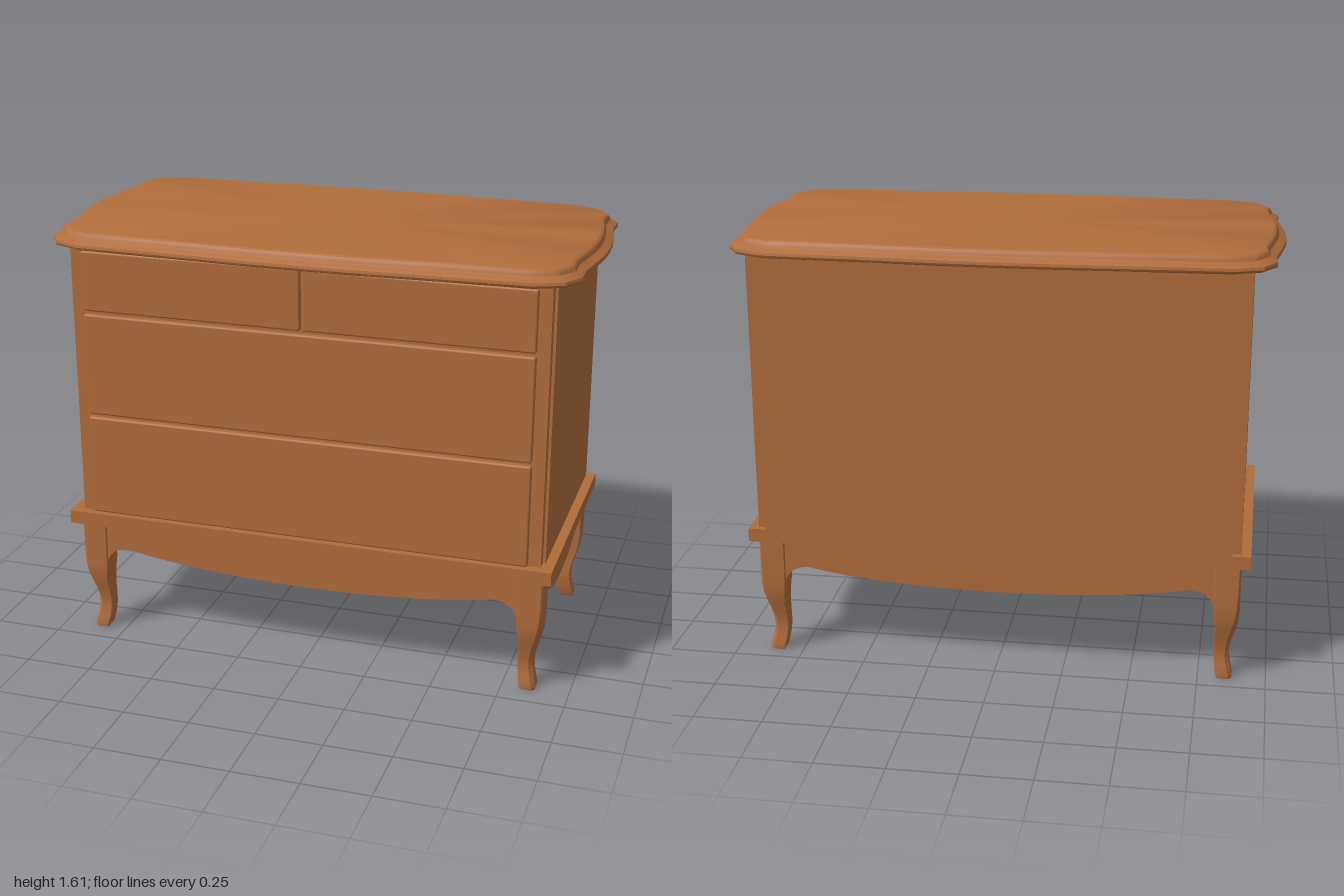
import * as THREE from 'three';
import { toCreasedNormals } from 'three/addons/utils/BufferGeometryUtils.js';
import { RoundedBoxGeometry } from 'three/addons/geometries/RoundedBoxGeometry.js';

const wood = new THREE.MeshStandardMaterial({ color: 0xb06c3b });
wood.name = 'brown wood';

function add(parent, name, geometry) {
  const mesh = new THREE.Mesh(geometry, wood);
  mesh.name = name;
  parent.add(mesh);
  return mesh;
}

// Box given by its lower and upper limits on each axis
function box(parent, name, x0, x1, y0, y1, z0, z1) {
  const mesh = add(parent, name, new THREE.BoxGeometry(x1 - x0, y1 - y0, z1 - z0));
  mesh.position.set((x0 + x1) / 2, (y0 + y1) / 2, (z0 + z1) / 2);
  return mesh;
}

// Capped skin over stacked rings of [x, y, z], each running from +x towards +z
function loft(rings, crease) {
  const n = rings[0].length;
  const index = [];
  for (let r = 0; r < rings.length - 1; r++) {
    for (let i = 0; i < n; i++) {
      const a = r * n + i, b = r * n + (i + 1) % n;
      index.push(a, a + n, b, b, a + n, b + n);
    }
  }
  const points = rings.flat();
  [0, rings.length - 1].forEach((r) => {
    const c = points.length;
    const mid = [0, 1, 2].map((k) => rings[r].reduce((s, p) => s + p[k], 0) / n);
    points.push(mid);
    for (let i = 0; i < n; i++) {
      const a = r * n + i, b = r * n + (i + 1) % n;
      if (r === 0) index.push(c, a, b);
      else index.push(c, b, a);
    }
  });
  const g = new THREE.BufferGeometry();
  g.setAttribute('position', new THREE.Float32BufferAttribute(points.flat(), 3));
  g.setIndex(index);
  return toCreasedNormals(g, crease);
}

// Serpentine top: one quarter of the outline, mirrored all round
function topGeometry() {
  const q = [[1, 0], [0.997, 0.08], [0.985, 0.18], [0.967, 0.3], [0.97, 0.39],
    [0.925, 0.465], [0.83, 0.505], [0.42, 0.518], [0.2, 0.528], [0, 0.53]];
  const half = [...q, ...q.slice(0, -1).reverse().map(([x, z]) => [-x, z])];
  const outline = [...half, ...half.slice(1, -1).reverse().map(([x, z]) => [x, -z])];
  // height and inset of the moulded edge
  const edge = [[1.545, 0.014], [1.55, 0.003], [1.557, 0], [1.567, 0.002], [1.574, 0.012],
    [1.579, 0.023], [1.583, 0.028], [1.592, 0.031], [1.6, 0.036], [1.605, 0.045]];
  const rings = edge.map(([y, inset]) => outline.map(([x, z]) =>
    [x * (1 - inset), y, z * (1 - inset / 0.53)]));
  return loft(rings, 0.5);
}

// Cabriole leg: outer and inner edges measured in from the outer corner
function legGeometry(cornerX, cornerZ) {
  const sx = Math.sign(cornerX), sz = Math.sign(cornerZ);
  // height, outer edge, inner edge, outer chamfer
  const levels = [[0, 0.021, 0.072, 0.012], [0.012, 0.019, 0.078, 0.014], [0.05, 0.028, 0.085, 0.014],
    [0.085, 0.034, 0.089, 0.014], [0.12, 0.033, 0.089, 0.014], [0.16, 0.024, 0.088, 0.016],
    [0.2, 0.012, 0.088, 0.018], [0.24, 0.003, 0.09, 0.016], [0.28, 0, 0.094, 0.012],
    [0.34, 0, 0.095, 0.008], [0.46, 0, 0.095, 0.006]];
  const k = 0.003;
  const rings = levels.map(([y, o, i, c]) => {
    const section = [[o, o + c], [o, i - k], [o + k, i], [i - k, i],
      [i, i - k], [i, o + k], [i - k, o], [o + c, o]];
    const ring = section.map(([u, v]) => [cornerX - sx * u, y, cornerZ - sz * v]);
    return sx * sz > 0 ? ring.reverse() : ring;
  });
  return loft(rings, 0.6);
}

// Apron with a bowed lower edge that sweeps into the legs at both ends
function apronGeometry(half, shoulder, thickness) {
  const s = new THREE.Shape();
  s.moveTo(-half, 0.46);
  s.lineTo(-half, 0.27);
  s.bezierCurveTo(-half + 0.005, 0.335, -shoulder - 0.045, 0.355, -shoulder, 0.355);
  s.bezierCurveTo(-shoulder * 0.5, 0.281, shoulder * 0.5, 0.281, shoulder, 0.355);
  s.bezierCurveTo(shoulder + 0.045, 0.355, half - 0.005, 0.335, half, 0.27);
  s.lineTo(half, 0.46);
  s.closePath();
  const g = new THREE.ExtrudeGeometry(s, { depth: thickness, bevelEnabled: false, curveSegments: 14 });
  g.translate(0, 0, -thickness / 2);
  return toCreasedNormals(g, 0.5);
}

export function createModel() {
  const model = new THREE.Group();
  model.name = 'chestOfDrawers';

  // Top and carcass
  add(model, 'top', topGeometry());
  const body = new THREE.Group();
  body.name = 'body';
  model.add(body);
  box(body, 'carcass', -0.892, 0.892, 0.51, 1.546, -0.46, 0.4);
  box(body, 'frontFrame', -0.882, 0.882, 0.51, 1.546, 0.4, 0.44);
  box(body, 'backPanel', -0.86, 0.86, 0.51, 1.546, -0.481, -0.46);
  box(model, 'plinth', -0.927, 0.927, 0.46, 0.51, -0.482, 0.477);

  // Drawer fronts: two small over two wide
  const drawers = new THREE.Group();
  drawers.name = 'drawers';
  model.add(drawers);
  [['lowerDrawer', -0.836, 0.836, 0.512, 0.896], ['middleDrawer', -0.836, 0.836, 0.908, 1.295],
    ['upperRightDrawer', -0.836, -0.005, 1.308, 1.534], ['upperLeftDrawer', 0.005, 0.836, 1.308, 1.534],
  ].forEach(([name, x0, x1, y0, y1]) => {
    const front = add(drawers, name, new RoundedBoxGeometry(x1 - x0, y1 - y0, 0.05, 2, 0.008));
    front.position.set((x0 + x1) / 2, (y0 + y1) / 2, 0.435);
  });

  // Legs
  for (const [side, x] of [['Left', 0.895], ['Right', -0.895]]) {
    add(model, 'front' + side + 'Leg', legGeometry(x, 0.44));
    add(model, 'back' + side + 'Leg', legGeometry(x, -0.46));
  }

  // Aprons between the legs
  add(model, 'frontApron', apronGeometry(0.805, 0.71, 0.04)).position.z = 0.412;
  add(model, 'backApron', apronGeometry(0.805, 0.71, 0.04)).position.z = -0.432;
  for (const [name, x] of [['leftApron', 0.867], ['rightApron', -0.867]]) {
    const apron = add(model, name, apronGeometry(0.363, 0.305, 0.04));
    apron.rotation.y = Math.PI / 2;
    apron.position.set(x, 0, -0.01);
  }
  return model;
}
